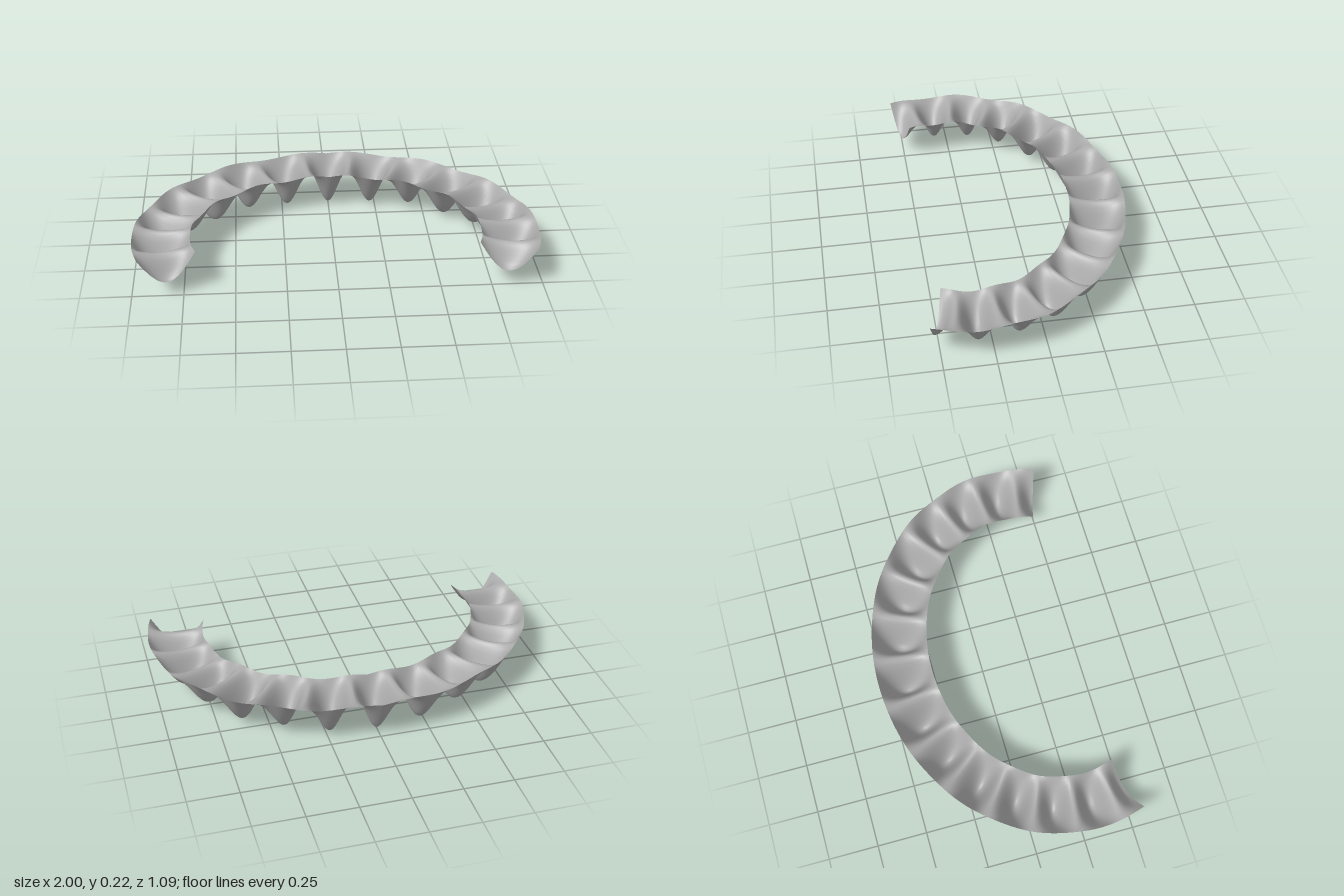
import * as THREE from 'three';

const END = 1.862;          // half sweep of the arch, radians
const LOBES = 7;            // hanging lobes from the middle to each end
const PITCH = END / LOBES;

// Height of the scalloped sheet: a gently wavy rim with lobes sagging between the two edges
function sheetHeight(angle, across) {
  const a = Math.abs(angle);
  const rim = 0.215 + 0.008 * Math.cos((2 * Math.PI * (a - 0.12)) / 0.43);
  const depth = 0.214 - 0.073 * (a / END);
  const wave = 0.5 + 0.5 * Math.cos((2 * Math.PI * a) / PITCH);
  const sag = Math.sin(Math.PI * across);
  return rim - sag * (0.018 + (depth - 0.018) * wave);
}

export function createModel() {
  const group = new THREE.Group();
  group.name = 'scallopedArch';
  const grey = new THREE.MeshStandardMaterial({ color: 0xaaaaaa, side: THREE.DoubleSide });
  grey.name = 'grey';

  // Bend a flat grid into a horseshoe between two ellipses
  const geometry = new THREE.PlaneGeometry(1, 1, LOBES * 2 * 16, 20);
  const pos = geometry.attributes.position;
  for (let i = 0; i < pos.count; i++) {
    const angle = pos.getX(i) * 2 * END;
    const across = pos.getY(i) + 0.5; // 0 at the inner edge, 1 at the outer edge
    const rx = THREE.MathUtils.lerp(0.717, 1, across);
    const rz = THREE.MathUtils.lerp(0.57, 0.85, across);
    pos.setXYZ(
      i,
      rx * Math.sin(angle),
      Math.max(0, sheetHeight(angle, across)),
      0.305 - rz * Math.cos(angle)
    );
  }
  geometry.computeVertexNormals();

  const sheet = new THREE.Mesh(geometry, grey);
  sheet.name = 'scallopedSheet';
  group.add(sheet);
  return group;
}
